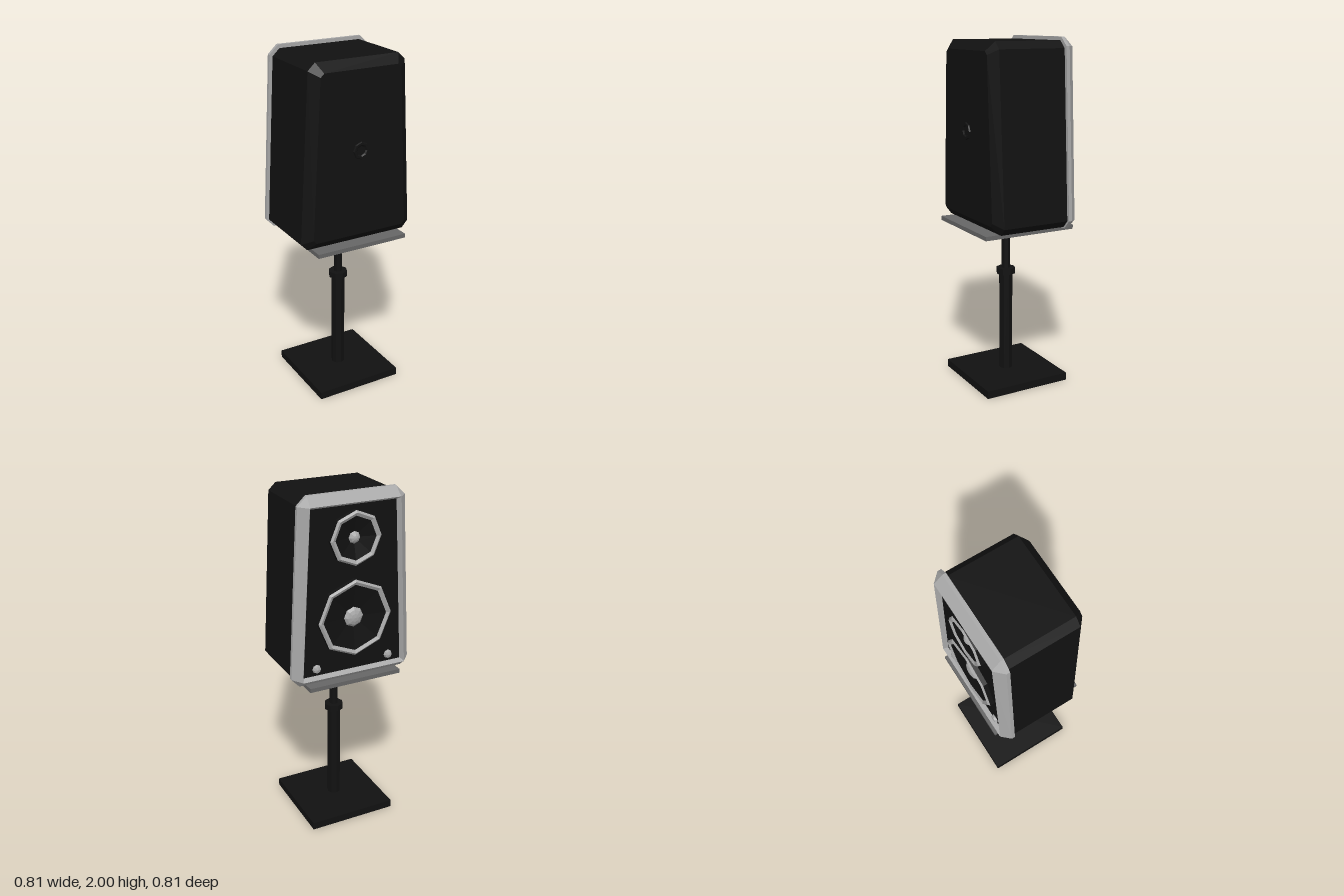
import * as THREE from 'three';

const mat = (color) => new THREE.MeshStandardMaterial({ color, flatShading: true });
const black = mat(0x111111);
const silver = mat(0xa8a8a8);
const steel = mat(0x666666);

function add(parent, name, geometry, material, x = 0, y = 0, z = 0) {
  const mesh = new THREE.Mesh(geometry, material);
  mesh.name = name;
  mesh.position.set(x, y, z);
  parent.add(mesh);
  return mesh;
}

// Eight-cornered trapezoid outline at depth z: half widths at the bottom and top,
// lower and upper heights, and corner cut
function outline([z, hb, ht, yb, yt, c]) {
  const half = (y) => hb + (ht - hb) * (y - 1) / 0.95;
  const right = [
    [half(yb) - c, yb], [half(yb + c), yb + c],
    [half(yt - c), yt - c], [half(yt) - c, yt],
  ];
  const left = right.map(([x, y]) => [-x, y]).reverse();
  return [...right, ...left].map(([x, y]) => [x, y, z]);
}

// Skin a row of outlines, optionally closing either end
function loft(sections, capStart, capEnd) {
  const n = 8;
  const pos = sections.flatMap((s) => outline(s).flat());
  const index = [];
  for (let k = 0; k < sections.length - 1; k++) {
    for (let i = 0; i < n; i++) {
      const a = k * n + i, b = k * n + (i + 1) % n;
      index.push(a, b, b + n, a, b + n, a + n);
    }
  }
  const last = (sections.length - 1) * n;
  for (let i = 1; i < n - 1; i++) {
    if (capStart) index.push(0, i + 1, i);
    if (capEnd) index.push(last, last + i, last + i + 1);
  }
  const g = new THREE.BufferGeometry();
  g.setAttribute('position', new THREE.Float32BufferAttribute(pos, 3));
  g.setIndex(index);
  g.computeVertexNormals();
  return g;
}

// Turned part whose axis points along z; profile is [radius, depth]
function turned(profile, sides = 8) {
  const pts = profile.map(([r, d]) => new THREE.Vector2(r, d));
  return new THREE.LatheGeometry(pts, sides).rotateX(Math.PI / 2);
}

// Loudspeaker driver: dark skirt, bright ring, dark cone, bright dome
function driver(name, r, domeR, y) {
  const g = new THREE.Group();
  g.name = name;
  g.position.set(0, y, 0.228);
  add(g, 'skirt', turned([[r, 0], [r, 0.026]]), black);
  add(g, 'ring', turned([[r, 0.026], [r - 0.012, 0.036], [r - 0.03, 0.026]]), silver);
  add(g, 'cone', turned([[r - 0.03, 0.026], [domeR, 0.005], [0, 0.005]]), black);
  add(g, 'dome', turned([[domeR, 0.005], [domeR * 0.75, 0.018], [domeR * 0.4, 0.025], [0, 0.028]]), silver);
  return g;
}

export function createModel() {
  const model = new THREE.Group();
  model.name = 'speakerOnStand';
  const body = new THREE.Group();
  body.name = 'turnedBody';
  body.rotation.y = -Math.PI * 0.75;
  model.add(body);

  // Stand
  const stand = new THREE.Group();
  stand.name = 'stand';
  stand.position.z = -0.01;
  body.add(stand);
  add(stand, 'base', new THREE.BoxGeometry(0.525, 0.045, 0.525), black, 0, 0.0225);
  add(stand, 'lowerPole', new THREE.CylinderGeometry(0.04, 0.04, 0.6, 8), black, 0, 0.345);
  add(stand, 'collar', new THREE.CylinderGeometry(0.056, 0.056, 0.035, 8), black, 0, 0.653);
  add(stand, 'upperPole', new THREE.CylinderGeometry(0.025, 0.025, 0.28, 8), black, 0, 0.795);
  add(stand, 'shelf', new THREE.BoxGeometry(0.56, 0.024, 0.56), steel, 0, 0.942);

  // Tapered cabinet with a bevelled back
  add(body, 'cabinet', loft([
    [-0.258, 0.293, 0.24, 1.005, 1.93, 0.02],
    [-0.212, 0.346, 0.291, 0.957, 1.98, 0.04],
    [0.19, 0.346, 0.291, 0.957, 1.98, 0.04],
  ], true, true), black);

  // Bevelled front frame around a recessed panel
  add(body, 'frontFrame', loft([
    [0.188, 0.335, 0.28, 0.97, 1.97, 0.04],
    [0.188, 0.364, 0.31, 0.95, 2.0, 0.05],
    [0.208, 0.364, 0.31, 0.95, 2.0, 0.05],
    [0.257, 0.315, 0.262, 0.99, 1.95, 0.002],
    [0.228, 0.3, 0.247, 1.006, 1.934, 0.002],
  ], false, false), silver);
  add(body, 'frontPanel', loft([
    [0.2, 0.302, 0.249, 1.004, 1.936, 0.002],
    [0.229, 0.302, 0.249, 1.004, 1.936, 0.002],
  ], false, true), black);

  body.add(driver('woofer', 0.22, 0.058, 1.315));
  body.add(driver('tweeter', 0.15, 0.034, 1.76));

  // Knobs in the lower corners
  for (const s of [-1, 1]) {
    add(body, s < 0 ? 'rightKnob' : 'leftKnob',
      turned([[0.026, 0], [0.02, 0.014], [0, 0.02]]), silver, s * 0.222, 1.045, 0.229);
  }

  // Round port on the back
  const port = add(body, 'backPort',
    turned([[0.05, 0], [0.046, 0.008], [0.034, 0.008], [0.026, 0.001], [0, 0.001]]), black, 0, 1.49, -0.258);
  port.rotation.y = Math.PI;

  return model;
}
